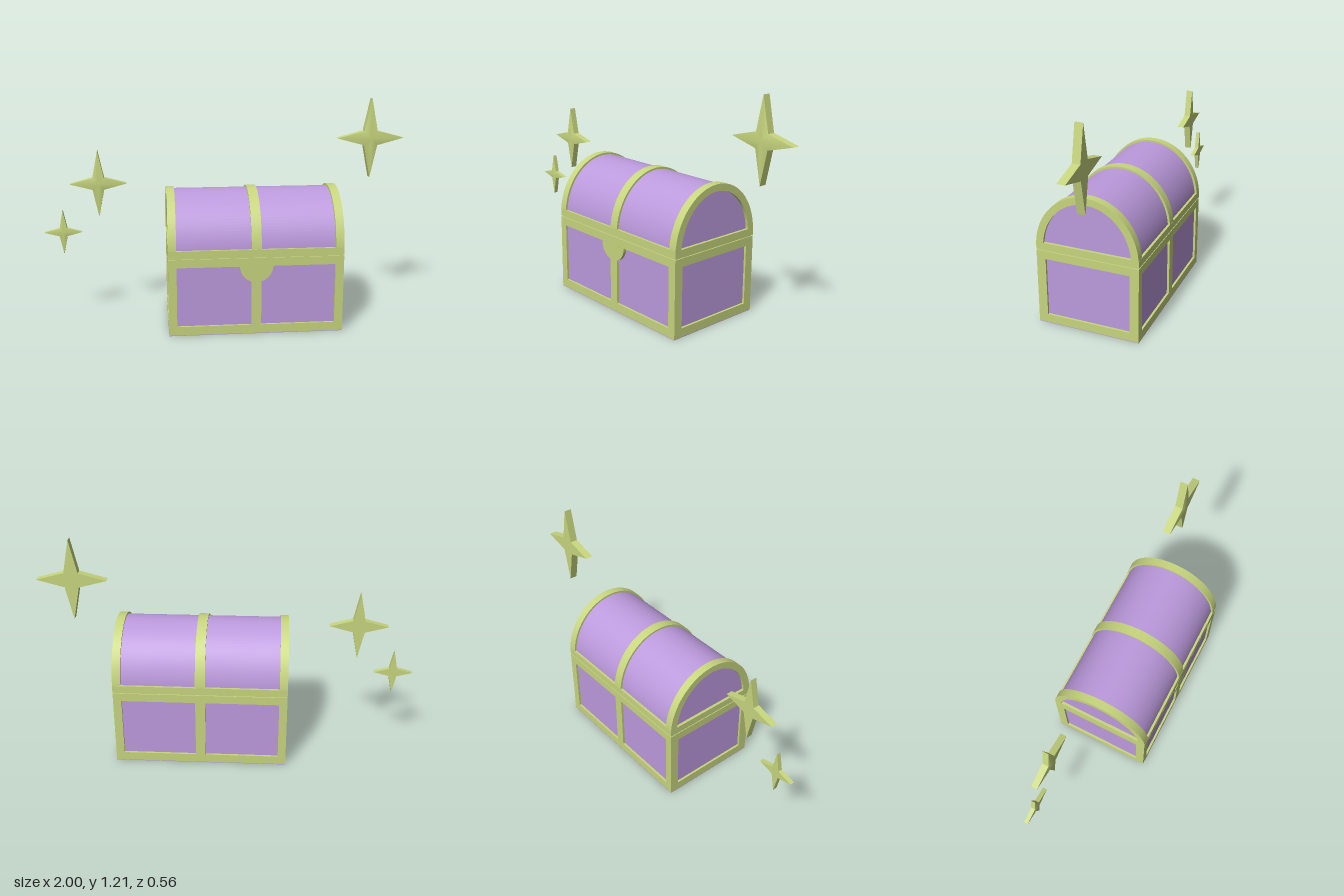
import * as THREE from 'three';
import { toCreasedNormals } from 'three/addons/utils/BufferGeometryUtils.js';

export function createModel() {
  const model = new THREE.Group();
  model.name = 'treasureChest';
  const trim = new THREE.MeshStandardMaterial({ color: 0xc8d67e });
  trim.name = 'paleGoldTrim';
  const panel = new THREE.MeshStandardMaterial({ color: 0xbc9add });
  panel.name = 'lilacPanel';

  const add = (name, geometry, material) => {
    const mesh = new THREE.Mesh(geometry, material);
    mesh.name = name;
    model.add(mesh);
    return mesh;
  };

  // Box given by its limits on each axis
  const box = (name, [x0, x1], [y0, y1], [z0, z1], material) =>
    add(name, new THREE.BoxGeometry(x1 - x0, y1 - y0, z1 - z0), material)
      .position.set((x0 + x1) / 2, (y0 + y1) / 2, (z0 + z1) / 2);

  const left = 0.6, right = -0.33, depth = 0.28;
  const ends = [[right, -0.287], [0.555, left]];
  const middle = [0.107, 0.16];

  // Body: recessed panels, rims, corner posts and centre straps
  box('base', [right, left], [0, 0.003], [-depth, depth], panel);
  box('bodyPanels', [right + 0.012, left - 0.012], [0.003, 0.4], [-0.268, 0.268], panel);
  box('bottomRim', [right, left], [0.003, 0.05], [-depth, depth], trim);
  box('topRim', [right, left], [0.375, 0.42], [-depth, depth], trim);
  for (const [z0, z1] of [[-depth, -0.23], [0.23, depth]]) {
    for (const x of ends) box('cornerPost', x, [0.05, 0.375], [z0, z1], trim);
    box('centreStrap', middle, [0.05, 0.375], [z0, z1], trim);
  }
  box('lidSeam', [right + 0.006, left - 0.006], [0.42, 0.425], [-0.274, 0.274], trim);

  // Half-round latch on the front
  const latch = new THREE.CylinderGeometry(0.088, 0.088, 0.02, 32, 1, false, -Math.PI / 2, Math.PI);
  latch.rotateX(Math.PI / 2);
  add('latch', latch, trim).position.set(0.133, 0.377, 0.275);

  // Lid: arched core with three bands above a flat rim
  const outline = (target, halfWidth, height, base) => {
    target.moveTo(-halfWidth, base);
    target.lineTo(halfWidth, base);
    target.absellipse(0, 0.44, halfWidth, height, 0, Math.PI, false);
    target.closePath();
    return target;
  };
  const arch = (name, [x0, x1], shape, material) => {
    const g = new THREE.ExtrudeGeometry(shape, { depth: x1 - x0, bevelEnabled: false, curveSegments: 28 });
    g.rotateY(Math.PI / 2);
    g.translate(x0, 0, 0);
    add(name, toCreasedNormals(g, 0.5), material);
  };
  arch('lidPanels', [right + 0.015, left - 0.015], outline(new THREE.Shape(), 0.268, 0.3, 0.43), panel);
  box('lidRim', [right, left], [0.425, 0.465], [-depth, depth], trim);
  for (const x of [...ends, middle]) {
    const band = outline(new THREE.Shape(), depth, 0.31, 0.43);
    band.holes.push(outline(new THREE.Path(), 0.24, 0.273, 0.435));
    arch('lidBand', x, band, trim);
  }

  // Four-pointed sparkles: flat back, straight rim, raised front centre
  const sparkle = (x, y, s) => {
    const ring = [];
    for (let i = 0; i < 8; i++) {
      const a = i * Math.PI / 4;
      const rx = i % 2 ? 0.053 : 0.186, ry = i % 2 ? 0.056 : 0.22;
      ring.push([rx * Math.cos(a), ry * Math.sin(a)]);
    }
    const back = -0.024, front = 0.018, peak = 0.031;
    const v = [];
    ring.forEach(([ax, ay], i) => {
      const [bx, by] = ring[(i + 1) % 8];
      v.push(0, 0, peak, ax, ay, front, bx, by, front);
      v.push(0, 0, back, bx, by, back, ax, ay, back);
      v.push(ax, ay, back, bx, by, back, bx, by, front);
      v.push(ax, ay, back, bx, by, front, ax, ay, front);
    });
    const g = new THREE.BufferGeometry();
    g.setAttribute('position', new THREE.Float32BufferAttribute(v, 3));
    g.scale(s, s, s);
    const mesh = add('sparkle', toCreasedNormals(g, 0.6), trim);
    mesh.position.set(x, y, -0.082);
  };
  sparkle(0.813, 0.992, 1);
  sparkle(-0.697, 0.76, 0.83);
  sparkle(-0.897, 0.49, 0.555);

  return model;
}
